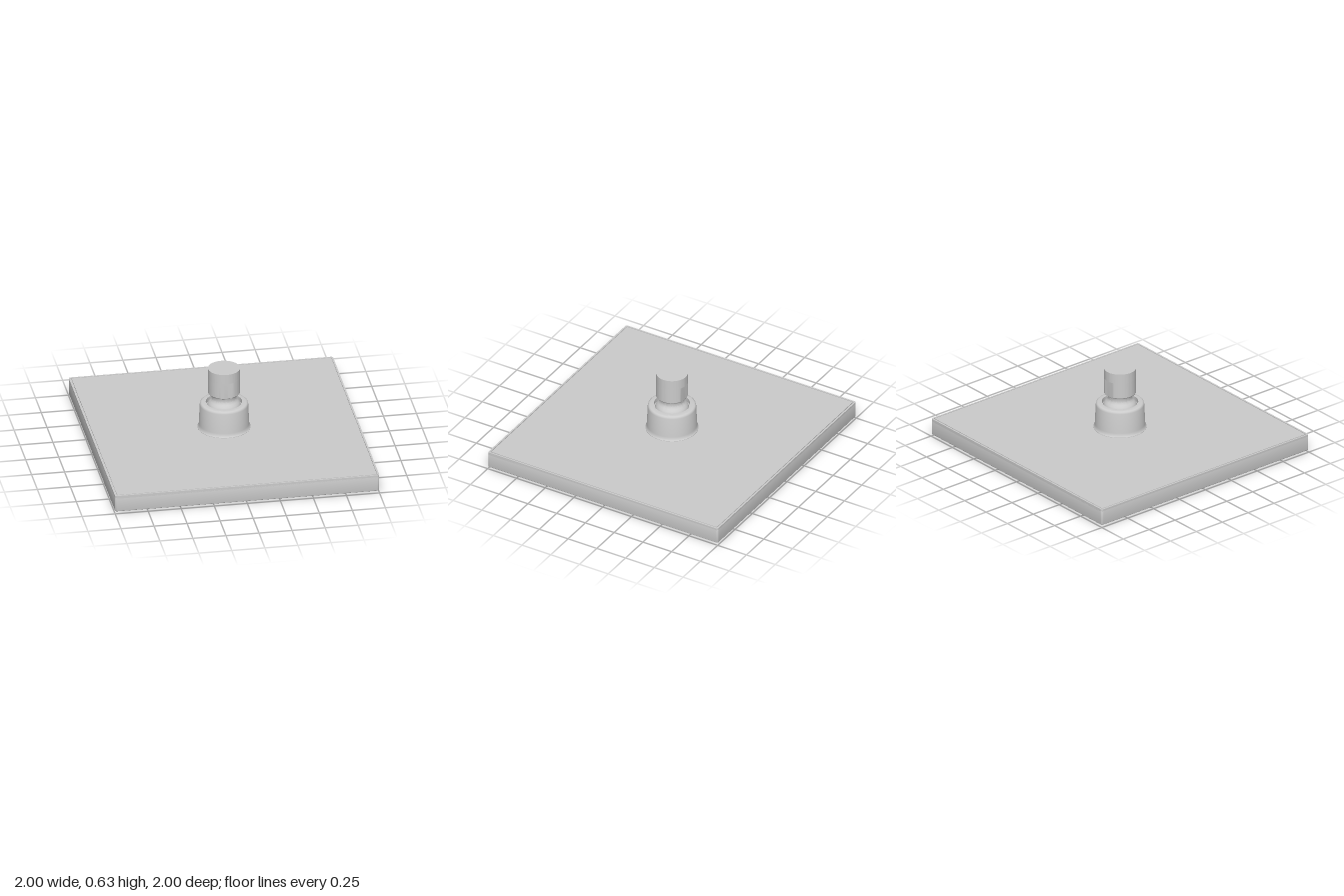
import * as THREE from 'three';
import { toCreasedNormals } from 'three/addons/utils/BufferGeometryUtils.js';

const material = new THREE.MeshStandardMaterial({ color: 0xcccccc });

function addMesh(parent, name, geometry) {
  const mesh = new THREE.Mesh(geometry, material);
  mesh.name = name;
  parent.add(mesh);
  return mesh;
}

// Revolve [radius, height] pairs, listed from bottom to top
function lathe(points, segments = 64) {
  return new THREE.LatheGeometry(points.map(([r, y]) => new THREE.Vector2(r, y)), segments);
}

// Square outline with rounded corners
function roundedSquare(half, r, Type = THREE.Shape) {
  const s = new Type();
  const c = half - r;
  s.absarc(c, c, r, 0, Math.PI / 2);
  s.absarc(-c, c, r, Math.PI / 2, Math.PI);
  s.absarc(-c, -c, r, Math.PI, Math.PI * 1.5);
  s.absarc(c, -c, r, Math.PI * 1.5, Math.PI * 2);
  s.closePath();
  return s;
}

// Horizontal slab from an outline, optionally bevelled on its edges
function slab(shape, y0, y1, bevel = 0) {
  const g = new THREE.ExtrudeGeometry(shape, {
    depth: y1 - y0 - 2 * bevel, curveSegments: 6,
    bevelEnabled: bevel > 0, bevelThickness: bevel, bevelSize: bevel,
    bevelOffset: -bevel, bevelSegments: 3,
  });
  g.rotateX(-Math.PI / 2);
  g.translate(0, y0 + bevel, 0);
  return toCreasedNormals(g, 0.6);
}

export function createModel() {
  const model = new THREE.Group();
  model.name = 'showerHead';

  // Square spray plate: body, thin rim and a lid set inside the rim
  const plate = new THREE.Group();
  plate.name = 'sprayPlate';
  model.add(plate);
  addMesh(plate, 'plateBody', slab(roundedSquare(1, 0.015), 0.017, 0.14, 0.008));
  const rim = roundedSquare(1, 0.015);
  rim.holes.push(roundedSquare(0.987, 0.01, THREE.Path));
  addMesh(plate, 'plateRim', slab(rim, 0.125, 0.147));
  addMesh(plate, 'plateLid', slab(roundedSquare(0.981, 0.01), 0.13, 0.147));

  // 9 x 9 grid of small nozzles on the underside
  const nozzles = new THREE.Group();
  nozzles.name = 'nozzles';
  model.add(nozzles);
  const nozzleShape = toCreasedNormals(
    lathe([[0, 0], [0.01, 0], [0.013, 0.003], [0.015, 0.02]], 16), 0.6);
  for (let i = -4; i <= 4; i++) {
    for (let j = -4; j <= 4; j++) {
      addMesh(nozzles, 'nozzle', nozzleShape).position.set(i * 0.203, 0, j * 0.203);
    }
  }

  // Tapered collar with a foot and an open socket
  addMesh(model, 'collar', toCreasedNormals(lathe([
    [0.198, 0.14], [0.198, 0.15], [0.191, 0.158], [0.188, 0.18], [0.181, 0.335],
    [0.178, 0.346], [0.172, 0.352], [0.163, 0.355], [0.136, 0.355], [0.136, 0.325], [0, 0.325],
  ]), 0.6));

  // Swivel ball flaring out of the socket, with the neck above
  addMesh(model, 'swivelNeck', toCreasedNormals(lathe([
    [0.128, 0.32], [0.124, 0.34], [0.115, 0.357], [0.102, 0.37], [0.092, 0.383],
    [0.09, 0.39], [0.09, 0.418], [0.094, 0.425], [0.106, 0.432],
  ]), 0.6));

  // Small pin on the front and back of the neck
  for (const side of [1, -1]) {
    const pin = addMesh(model, 'neckPin', new THREE.CylinderGeometry(0.007, 0.007, 0.006, 16));
    pin.rotation.x = Math.PI / 2;
    pin.position.set(0, 0.402, side * 0.089);
  }

  // Inlet nut: lower part has wrench flats on front and back, upper part is round
  const flats = lathe([[0, 0.427], [0.108, 0.427], [0.116, 0.431], [0.12, 0.438], [0.12, 0.558], [0, 0.558]], 96);
  const p = flats.attributes.position;
  for (let i = 0; i < p.count; i++) p.setZ(i, THREE.MathUtils.clamp(p.getZ(i), -0.109, 0.109));
  addMesh(model, 'inletFlats', toCreasedNormals(flats, 0.3));
  addMesh(model, 'inletTop', toCreasedNormals(
    lathe([[0, 0.558], [0.12, 0.558], [0.12, 0.635], [0, 0.635]], 96), 0.6));

  return model;
}
